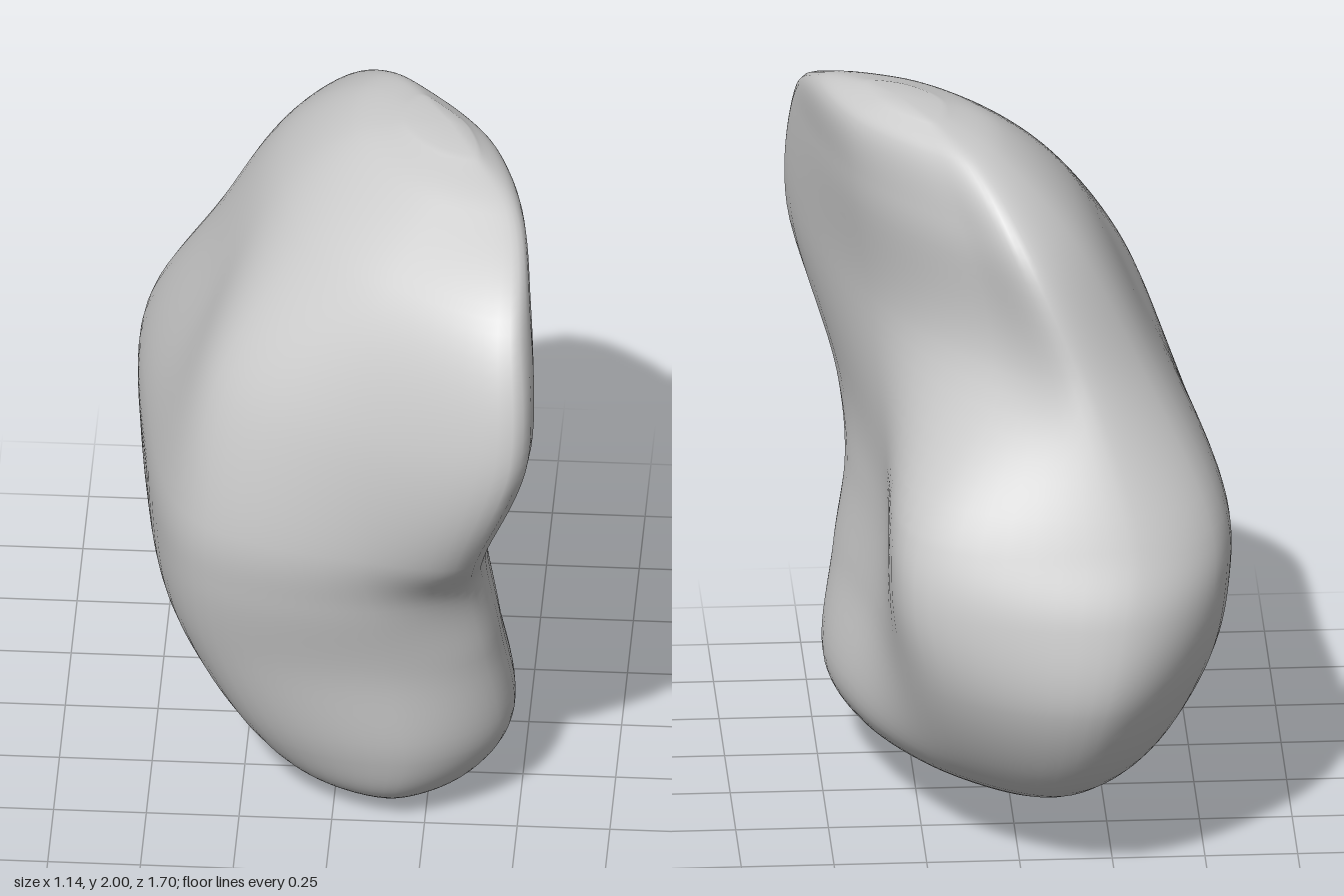
import * as THREE from 'three';

// Horizontal cross-sections: height, then eight x, z corners running
// front-left corner, front, front-right corner, side, back corner, back, back-left corner, side.
const SECTIONS = [
  [0.1, 0.37, 0.38, 0.17, 0.52, -0.1, 0.4, -0.12, 0.1, -0.08, -0.07, 0.05, -0.17, 0.17, -0.08, 0.32, 0.12],
  [0.25, 0.46, 0.41, 0.2, 0.58, -0.21, 0.45, -0.33, 0, -0.32, -0.42, -0.13, -0.63, 0.17, -0.46, 0.41, -0.01],
  [0.55, 0.43, 0.48, 0.15, 0.62, -0.34, 0.5, -0.5, 0, -0.48, -0.56, -0.21, -0.83, 0.24, -0.63, 0.37, -0.05],
  [0.8, 0.39, 0.55, 0.12, 0.68, -0.37, 0.55, -0.54, -0.03, -0.53, -0.62, -0.26, -0.82, 0.29, -0.64, 0.34, -0.08],
  [1.0, 0.4, 0.73, 0.08, 0.73, -0.37, 0.56, -0.53, -0.02, -0.53, -0.57, -0.28, -0.74, 0.27, -0.59, 0.34, -0.04],
  [1.4, 0.53, 0.84, 0.07, 0.7, -0.31, 0.47, -0.36, 0.08, -0.35, -0.4, -0.17, -0.57, 0.07, -0.4, 0.37, 0.1],
  [1.75, 0.52, 0.72, 0.15, 0.57, -0.09, 0.34, -0.18, 0.05, -0.16, -0.3, -0.02, -0.46, 0.14, -0.3, 0.42, 0.1],
  [1.93, 0.48, 0.41, 0.27, 0.36, 0.11, 0.22, 0.02, 0.05, 0.03, -0.17, 0.1, -0.25, 0.22, -0.16, 0.42, 0.1],
];

const toRing = ([y, ...xz]) =>
  Array.from({ length: 8 }, (_, i) => new THREE.Vector3(xz[2 * i], y, xz[2 * i + 1]));

// Small end ring: a neighbouring ring shrunk around a tip point
const shrinkTo = (ring, tip, scale, y) =>
  ring.map((p) => new THREE.Vector3(tip.x + (p.x - tip.x) * scale, y, tip.z + (p.z - tip.z) * scale));

// Smooth closed skin through the rings, with both ends capped at their tips
function loftGeometry(rings, tips, rows, cols) {
  const columns = rings[0].map((_, i) => new THREE.CatmullRomCurve3(rings.map((ring) => ring[i])));
  const positions = [];
  const index = [];
  for (let r = 0; r <= rows; r++) {
    const loop = new THREE.CatmullRomCurve3(columns.map((c) => c.getPoint(r / rows)), true);
    for (let c = 0; c < cols; c++) {
      const p = loop.getPoint(c / cols);
      positions.push(p.x, THREE.MathUtils.clamp(p.y, tips[0].y, tips[1].y), p.z);
      if (r < rows) {
        const a = r * cols + c;
        const b = r * cols + ((c + 1) % cols);
        index.push(a, a + cols, b, b, a + cols, b + cols);
      }
    }
  }
  const bottom = (rows + 1) * cols;
  tips.forEach((p) => positions.push(p.x, p.y, p.z));
  for (let c = 0; c < cols; c++) {
    const n = (c + 1) % cols;
    index.push(bottom, c, n, bottom + 1, rows * cols + n, rows * cols + c);
  }
  const geometry = new THREE.BufferGeometry();
  geometry.setAttribute('position', new THREE.Float32BufferAttribute(positions, 3));
  geometry.setIndex(index);
  geometry.computeVertexNormals();
  return geometry;
}

export function createModel() {
  const group = new THREE.Group();
  group.name = 'boulder';

  // Weathered stone body between a narrow foot and a rounded crest
  const foot = new THREE.Vector3(0.15, 0, 0.36);
  const crest = new THREE.Vector3(0.29, 2, 0.08);
  const body = SECTIONS.map(toRing);
  const rings = [
    shrinkTo(body[0], foot, 0.3, 0.012),
    ...body,
    shrinkTo(body[body.length - 1], crest, 0.4, 1.988),
  ];
  const stone = new THREE.Mesh(
    loftGeometry(rings, [foot, crest], 81, 72),
    new THREE.MeshStandardMaterial({ color: 0xcccccc }));
  stone.name = 'stone';
  group.add(stone);
  return group;
}
